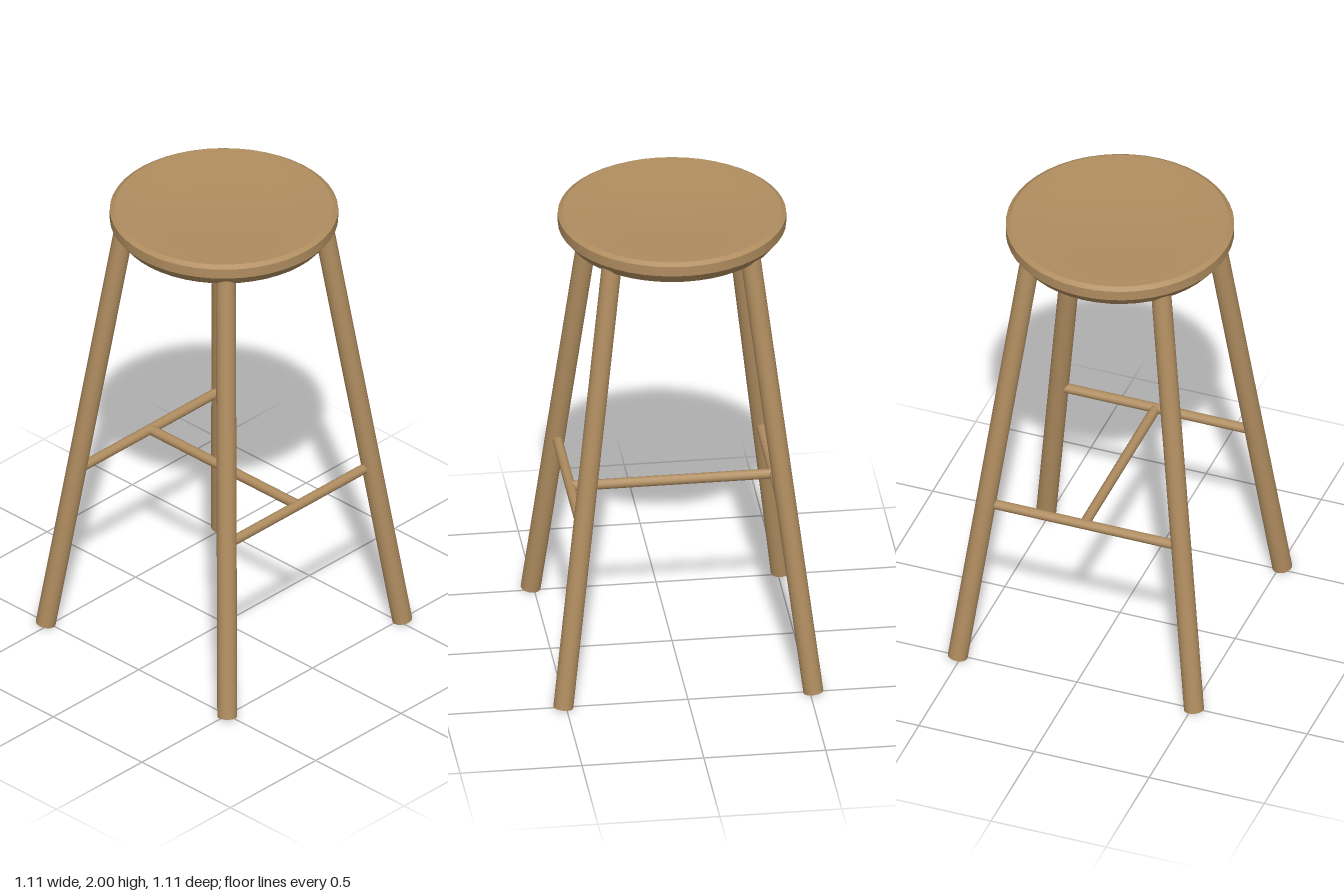
import * as THREE from 'three';
import { toCreasedNormals } from 'three/addons/utils/BufferGeometryUtils.js';

export function createModel() {
  const stool = new THREE.Group();
  stool.name = 'barStool';
  const wood = new THREE.MeshStandardMaterial({ color: 0xb08d60 });
  wood.name = 'wood';

  // Round rod between two points
  function rod(name, from, to, radius, sides) {
    const a = new THREE.Vector3(...from);
    const b = new THREE.Vector3(...to);
    const dir = b.clone().sub(a);
    const mesh = new THREE.Mesh(
      new THREE.CylinderGeometry(radius, radius, dir.length(), sides), wood);
    mesh.position.copy(a).add(b).multiplyScalar(0.5);
    mesh.quaternion.setFromUnitVectors(new THREE.Vector3(0, 1, 0), dir.normalize());
    mesh.name = name;
    stool.add(mesh);
  }

  // Dished seat with an undercut lower edge
  const profile = [
    [0, 1.9], [0.43, 1.9], [0.465, 1.945], [0.465, 1.988], [0.445, 2],
    [0.4, 1.998], [0.33, 1.993], [0.25, 1.986], [0.185, 1.981], [0, 1.98],
  ].map(([r, y]) => new THREE.Vector2(r, y));
  const seat = new THREE.Mesh(
    toCreasedNormals(new THREE.LatheGeometry(profile, 48), 0.4), wood);
  seat.name = 'seat';
  stool.add(seat);

  // Four splayed legs
  for (const [sx, side] of [[1, 'Left'], [-1, 'Right']]) {
    for (const [sz, end] of [[1, 'front'], [-1, 'back']]) {
      rod(`${end}${side}Leg`, [sx * 0.513, 0.007, sz * 0.513],
        [sx * 0.284, 1.92, sz * 0.284], 0.041, 20);
    }
  }

  // H-shaped stretcher: front and back rails joined by a cross rail
  const y = 0.747, reach = 0.418;
  rod('frontRail', [-reach, y, reach], [reach, y, reach], 0.021, 10);
  rod('backRail', [-reach, y, -reach], [reach, y, -reach], 0.021, 10);
  rod('crossRail', [0, y, -reach], [0, y, reach], 0.021, 10);

  return stool;
}
